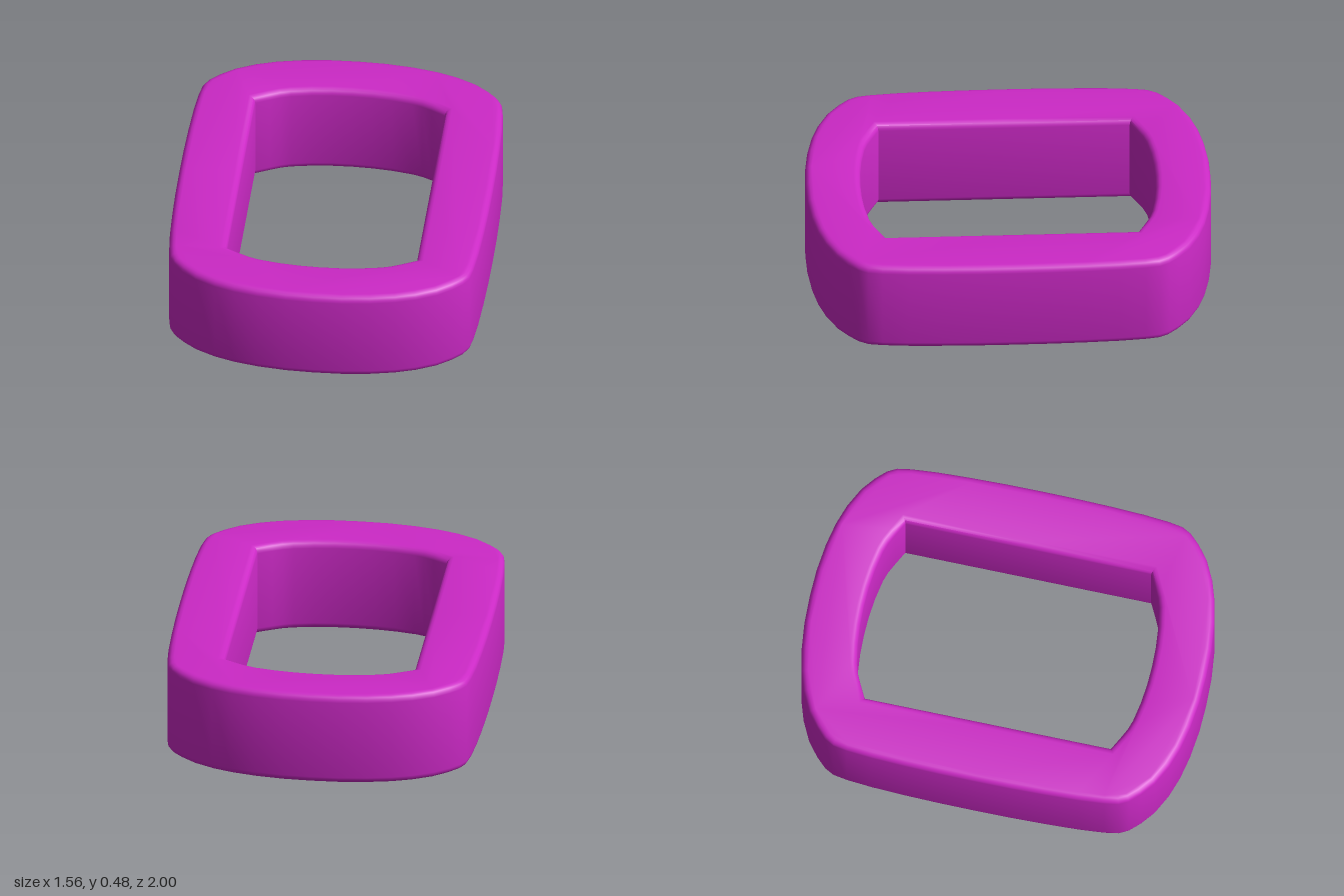
import * as THREE from 'three';
import { toCreasedNormals } from 'three/addons/utils/BufferGeometryUtils.js';

const HEIGHT = 0.478;
const BEVEL = 0.034;

// Mirror a quarter outline (running from the end centre towards the side) into a full loop
function mirrorQuarter(quarter) {
  const half = [...quarter, ...quarter.slice(0, -1).reverse().map(([x, z]) => [x, -z])];
  const other = half.slice(1, -1).reverse().map(([x, z]) => [-x, z]);
  return [...half, ...other].map(([x, z]) => new THREE.Vector2(x, z));
}

export function createModel() {
  const group = new THREE.Group();
  group.name = 'roundedLink';

  // Outer outline: bowed ends, tight corners, slightly bulging sides
  const outer = mirrorQuarter([
    [0, 1], [0.14, 0.996], [0.28, 0.98], [0.4, 0.955], [0.5, 0.922], [0.6, 0.872], [0.67, 0.817],
    [0.718, 0.767], [0.743, 0.72], [0.755, 0.65], [0.766, 0.52], [0.773, 0.35], [0.777, 0.18], [0.778, 0],
  ]);

  // Opening: bowed ends meeting straight sides at a sharp corner, wound opposite to the outer outline
  const opening = mirrorQuarter([
    [0, 0.727], [0.1, 0.724], [0.2, 0.714], [0.3, 0.696], [0.35, 0.68], [0.4, 0.656], [0.47, 0.62], [0.47, 0],
  ]).reverse();

  const shape = new THREE.Shape(outer);
  shape.holes.push(new THREE.Path(opening));

  // Extrude with rounded rims, then lay flat on the ground
  const geometry = new THREE.ExtrudeGeometry(shape, {
    depth: HEIGHT - 2 * BEVEL,
    bevelEnabled: true,
    bevelThickness: BEVEL,
    bevelSize: BEVEL,
    bevelOffset: -BEVEL,
    bevelSegments: 4,
  });
  geometry.rotateX(-Math.PI / 2);
  geometry.translate(0, BEVEL, 0);

  const ring = new THREE.Mesh(
    toCreasedNormals(geometry, 0.7),
    new THREE.MeshStandardMaterial({ color: 0xcc29c6 })
  );
  ring.name = 'ring';
  group.add(ring);
  return group;
}
